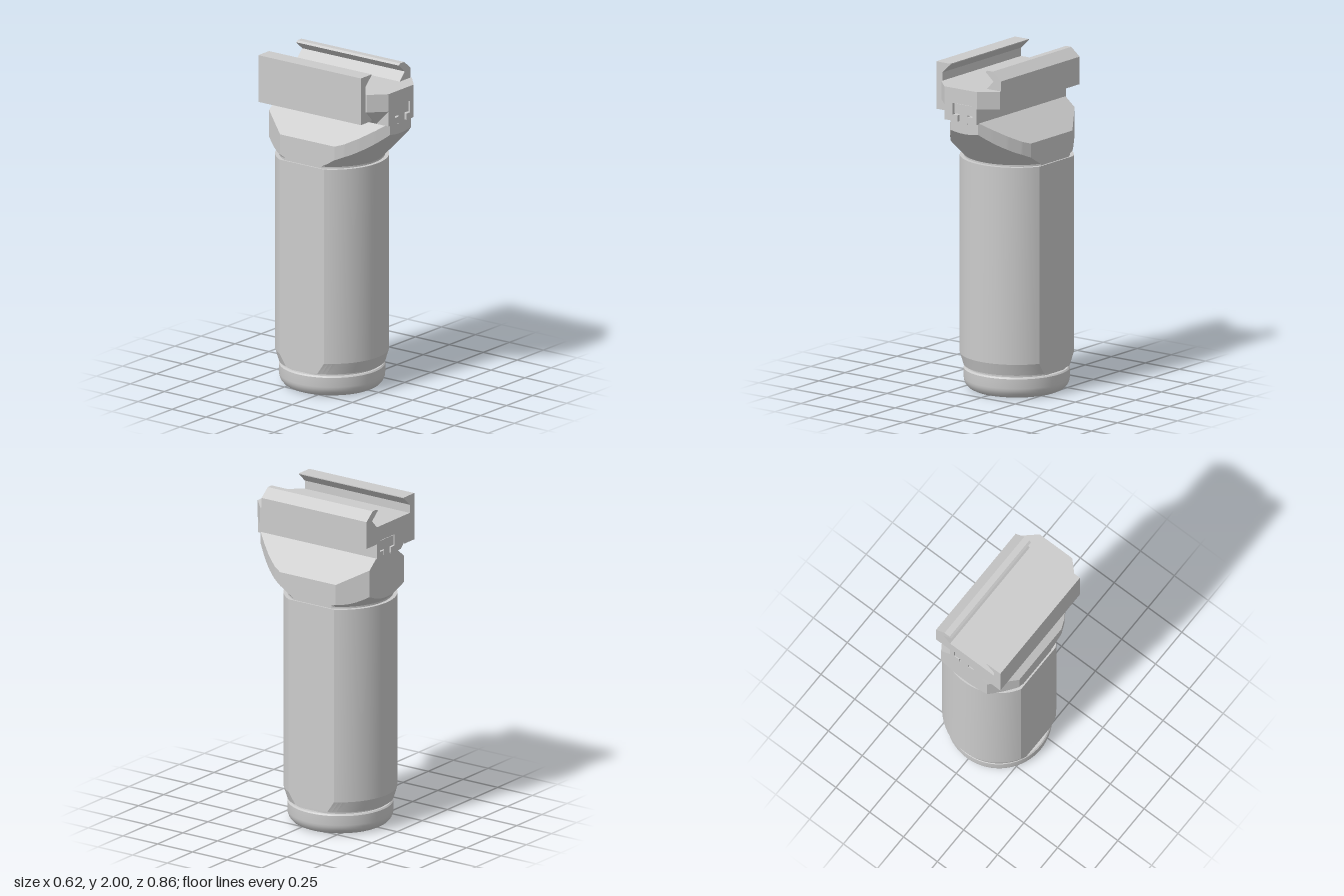
import * as THREE from 'three';
import { toCreasedNormals } from 'three/addons/utils/BufferGeometryUtils.js';

const CZ = -0.092; // z of the grip axis
const material = new THREE.MeshStandardMaterial({ color: 0xcccccc });

function addMesh(group, name, geometry) {
  const mesh = new THREE.Mesh(geometry, material);
  mesh.name = name;
  group.add(mesh);
  return mesh;
}

// Closed solid through rings of [x, y, z] points, listed from bottom to top
function loft(rings, crease = 0.4) {
  const out = [];
  const n = rings[0].length;
  const centre = (ring) => [0, ring[0][1], CZ];
  const first = rings[0], last = rings[rings.length - 1];
  for (let i = 0; i < n; i++) {
    const j = (i + 1) % n;
    out.push(...centre(first), ...first[i], ...first[j]);
    for (let k = 0; k < rings.length - 1; k++) {
      const a = rings[k], b = rings[k + 1];
      out.push(...a[i], ...b[i], ...a[j], ...a[j], ...b[i], ...b[j]);
    }
    out.push(...centre(last), ...last[j], ...last[i]);
  }
  const geometry = new THREE.BufferGeometry();
  geometry.setAttribute('position', new THREE.Float32BufferAttribute(out, 3));
  return toCreasedNormals(geometry, crease);
}

// Circle with its two sides cut flat at x = +-flat
function flattedRing(r, y, flat, segments = 28) {
  const start = Math.acos(Math.min(1, flat / r));
  const points = [];
  for (const offset of [0, Math.PI]) {
    for (let i = 0; i <= segments; i++) {
      const a = offset + start + (Math.PI - 2 * start) * i / segments;
      points.push([r * Math.cos(a), y, CZ + r * Math.sin(a)]);
    }
  }
  return points;
}

// Swept head: plan outline, cone underside and sloping roof
function headGeometry() {
  const half = [[0.17, -0.425], [0.28, -0.26], [0.28, 0.14], [0.258, 0.195],
    [0.21, 0.272], [0.155, 0.345], [0.1, 0.412]];
  const corners = [...half, ...half.slice().reverse().map(([x, z]) => [-x, z])];
  const plan = [];
  corners.forEach(([x, z], i) => {
    const [x2, z2] = corners[(i + 1) % corners.length];
    for (let k = 0; k < 8; k++) plan.push([x + (x2 - x) * k / 8, z + (z2 - z) * k / 8]);
  });
  const baseY = 1.41, baseR = 0.31, topY = 1.7, ridge = 0.1;
  const base = [], lower = [], upper = [], top = [];
  for (const [x, z] of plan) {
    const d = Math.hypot(x, z - CZ);
    const s = Math.min(1, baseR / d);
    base.push([x * s, baseY, CZ + (z - CZ) * s]);
    lower.push([x, baseY + Math.max(0, d - baseR) * 1.077, z]);
    upper.push([x, topY - Math.max(0, Math.abs(x) - ridge) * 0.83, z]);
    top.push([THREE.MathUtils.clamp(x, -ridge, ridge), topY, z]);
  }
  return loft([base, lower, upper, top], 0.3);
}

// Front-view profile extruded between two z positions
function extrudeZ(points, z0, z1) {
  const shape = new THREE.Shape(points.map(([x, y]) => new THREE.Vector2(x, y)));
  const geometry = new THREE.ExtrudeGeometry(shape, { depth: z1 - z0, bevelEnabled: false });
  geometry.translate(0, 0, z0);
  return geometry;
}

export function createModel() {
  const model = new THREE.Group();
  model.name = 'verticalGrip';

  // Rounded end cap
  const capProfile = [[0, 0.003], [0.268, 0.003], [0.285, 0.012], [0.3, 0.03], [0.308, 0.05],
    [0.31, 0.065], [0.31, 0.122], [0.303, 0.13], [0, 0.13]].map(([r, y]) => new THREE.Vector2(r, y));
  const cap = addMesh(model, 'endCap', toCreasedNormals(new THREE.LatheGeometry(capProfile, 64), 0.5));
  cap.position.z = CZ;

  // Narrow necks below and above the handle
  addMesh(model, 'lowerNeck', loft([flattedRing(0.29, 0.125, 0.28), flattedRing(0.29, 0.15, 0.28)]));
  addMesh(model, 'upperNeck', loft([flattedRing(0.31, 1.395, 0.28), flattedRing(0.31, 1.415, 0.28)]));

  // Handle with flat sides and a tapered lower edge
  addMesh(model, 'handle', loft([
    flattedRing(0.312, 0.145, 0.29), flattedRing(0.333, 0.215, 0.29), flattedRing(0.333, 1.4, 0.29),
  ], 0.2));

  addMesh(model, 'head', headGeometry());

  // Rail block with a T slot along its underside
  const block = [[-0.225, 1.89], [-0.225, 1.783], [-0.135, 1.692], [-0.037, 1.692], [-0.037, 1.73],
    [-0.073, 1.73], [-0.073, 1.8], [0.071, 1.8], [0.071, 1.73], [0.035, 1.73],
    [0.035, 1.692], [0.103, 1.692], [0.103, 1.785], [0.205, 1.785], [0.205, 1.89]];
  addMesh(model, 'railBlock', extrudeZ(block, -0.428, 0.338));

  // Front end of the block, narrowed by two corner chamfers
  const nose = extrudeZ(block, 0.338, 0.428);
  const pos = nose.attributes.position;
  for (let i = 0; i < pos.count; i++) {
    if (pos.getZ(i) > 0.4) pos.setX(i, THREE.MathUtils.clamp(pos.getX(i), -0.135, 0.105));
  }
  nose.computeVertexNormals();
  addMesh(model, 'railBlockNose', nose);

  // T-shaped tongue of the head sitting in the slot
  addMesh(model, 'slotTongue', extrudeZ([[-0.03, 1.68], [0.028, 1.68], [0.028, 1.737], [0.066, 1.737],
    [0.066, 1.796], [-0.068, 1.796], [-0.068, 1.737], [-0.03, 1.737]], -0.425, 0.42));

  // Clamp jaws either side of the rail channel
  addMesh(model, 'rightJaw', extrudeZ([[-0.27, 2], [-0.27, 1.715], [-0.167, 1.715], [-0.167, 1.725],
    [-0.225, 1.783], [-0.225, 1.94], [-0.167, 1.995], [-0.167, 2]], -0.428, 0.328));
  addMesh(model, 'leftJaw', extrudeZ([[0.1, 1.889], [0.205, 1.889], [0.205, 1.95], [0.143, 2],
    [0.105, 2], [0.092, 1.99], [0.15, 1.94]], -0.428, 0.328));

  return model;
}
